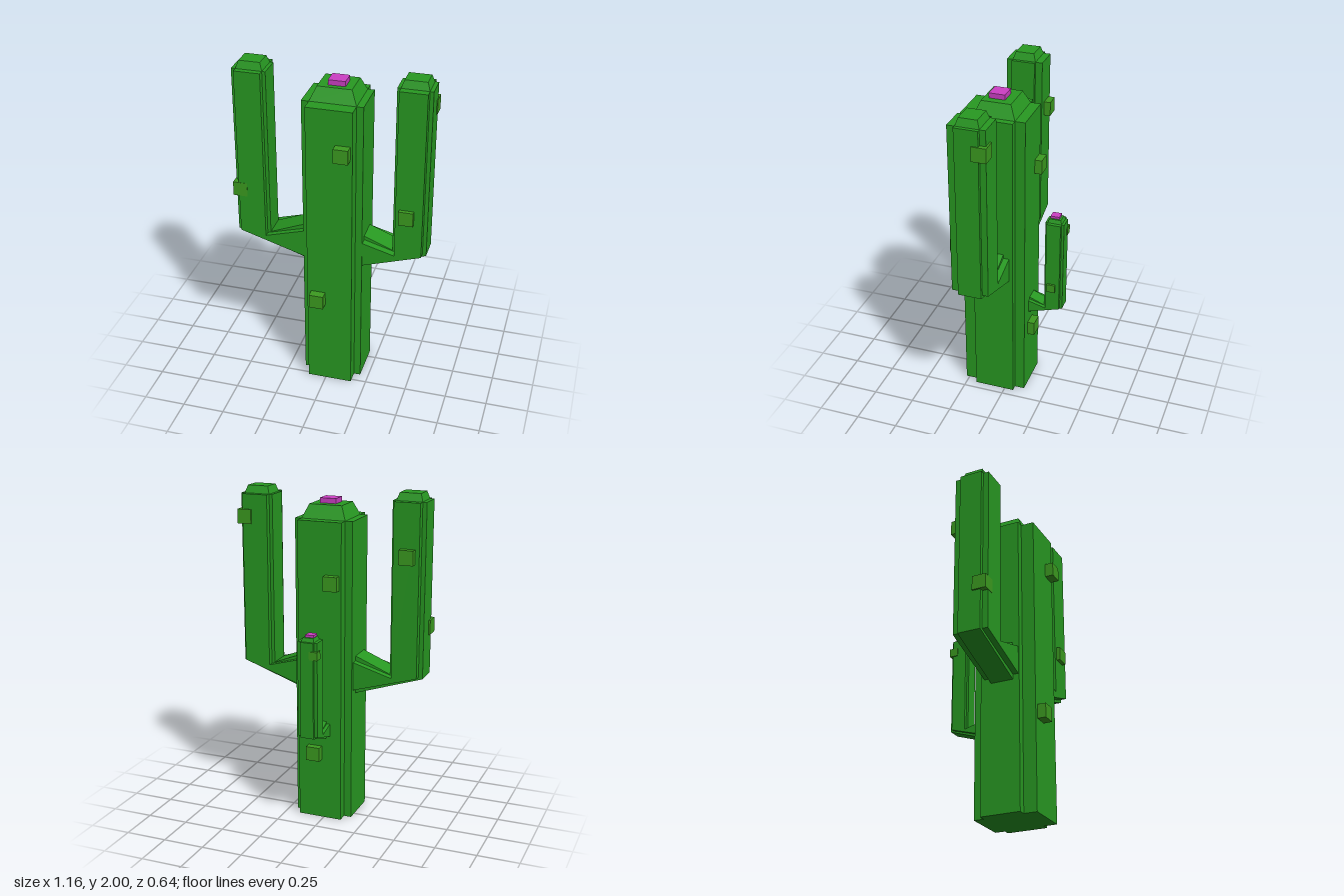
import * as THREE from 'three';

const material = (color) => new THREE.MeshStandardMaterial({ color, flatShading: true });
const GREEN = material(0x289a22);
const BUMP = material(0x3c9c20);
const PINK = material(0xcc3fc4);

function addMesh(parent, name, geometry, mat) {
  const mesh = new THREE.Mesh(geometry, mat);
  mesh.name = name;
  parent.add(mesh);
  return mesh;
}

// Box given by its limits; inset narrows the top into a frustum
function block([x0, x1], [y0, y1], [z0, z1], inset = 0) {
  const geo = new THREE.BoxGeometry(x1 - x0, y1 - y0, z1 - z0);
  const p = geo.attributes.position;
  for (let i = 0; i < p.count; i++) {
    if (p.getY(i) < 0) continue;
    p.setX(i, p.getX(i) - Math.sign(p.getX(i)) * inset);
    p.setZ(i, p.getZ(i) - Math.sign(p.getZ(i)) * inset);
  }
  geo.translate((x0 + x1) / 2, (y0 + y1) / 2, (z0 + z1) / 2);
  geo.computeVertexNormals();
  return geo;
}

// Side outline of a bent arm, extruded across its width [w0, w1]
function armSlab(points, [w0, w1]) {
  const shape = new THREE.Shape(points.map(([u, y]) => new THREE.Vector2(u, y)));
  const geo = new THREE.ExtrudeGeometry(shape, { depth: w1 - w0, bevelEnabled: false });
  return geo.translate(0, 0, w0);
}

// Two crossing slabs give the arm its notched corners
function addArm(parent, name, { ribs, top, toBack = false }) {
  const arm = new THREE.Group();
  arm.name = name;
  for (const { root, inner, outer, width } of ribs) {
    const geo = armSlab([
      [root[0], root[1]], [outer[0], outer[1]], [outer[0], top],
      [inner[0], top], [inner[0], inner[1]], [root[0], root[2]],
    ], width);
    if (toBack) geo.rotateY(Math.PI / 2);
    addMesh(arm, name + 'Rib', geo, GREEN);
  }
  parent.add(arm);
  return arm;
}

export function createModel() {
  const cactus = new THREE.Group();
  cactus.name = 'cactus';

  // Trunk with a plus-shaped section
  const plus = new THREE.Shape([
    [-0.11, -0.115], [0.16, -0.115], [0.16, -0.055], [0.2, -0.055], [0.2, 0.19], [0.16, 0.19],
    [0.16, 0.27], [-0.11, 0.27], [-0.11, 0.19], [-0.155, 0.19], [-0.155, -0.055], [-0.11, -0.055],
  ].map(([x, z]) => new THREE.Vector2(x, -z)));
  const trunk = new THREE.ExtrudeGeometry(plus, { depth: 1.83, bevelEnabled: false });
  addMesh(cactus, 'trunk', trunk.rotateX(-Math.PI / 2), GREEN);
  addMesh(cactus, 'trunkCap', block([-0.11, 0.16], [1.83, 1.91], [-0.055, 0.19], 0.035), GREEN);
  addMesh(cactus, 'trunkFlower', block([-0.02, 0.08], [1.91, 1.94], [0.03, 0.125]), PINK);

  // Right arm
  const right = addArm(cactus, 'rightArm', {
    top: 1.955,
    ribs: [
      { root: [-0.15, 0.785, 1.02], inner: [-0.37, 0.93], outer: [-0.57, 0.925], width: [0.01, 0.15] },
      { root: [-0.15, 0.815, 0.99], inner: [-0.39, 0.92], outer: [-0.545, 0.935], width: [-0.032, 0.185] },
    ],
  });
  addMesh(right, 'rightArmCap', block([-0.545, -0.39], [1.955, 2], [0.01, 0.15], 0.015), GREEN);

  // Left arm
  const left = addArm(cactus, 'leftArm', {
    top: 1.945,
    ribs: [
      { root: [0.195, 0.785, 0.99], inner: [0.37, 0.92], outer: [0.57, 0.915], width: [0.003, 0.14] },
      { root: [0.195, 0.81, 0.965], inner: [0.39, 0.91], outer: [0.548, 0.925], width: [-0.032, 0.185] },
    ],
  });
  addMesh(left, 'leftArmCap', block([0.39, 0.548], [1.945, 1.99], [0.003, 0.14], 0.015), GREEN);

  // Small back arm
  const back = addArm(cactus, 'backArm', {
    top: 1.17,
    toBack: true,
    ribs: [
      { root: [0.11, 0.52, 0.63], inner: [0.207, 0.59], outer: [0.32, 0.59], width: [-0.02, 0.06] },
      { root: [0.11, 0.535, 0.615], inner: [0.22, 0.585], outer: [0.305, 0.595], width: [-0.04, 0.082] },
    ],
  });
  addMesh(back, 'backArmCap', block([-0.02, 0.06], [1.17, 1.193], [-0.305, -0.22], 0.008), GREEN);
  addMesh(back, 'backArmFlower', block([-0.01, 0.042], [1.193, 1.207], [-0.285, -0.232]), PINK);

  // Bumps: centre x, y, z and edge length
  const bumps = [
    [0.105, 1.58, 0.278, 0.086], [-0.043, 0.593, 0.278, 0.086],
    [-0.055, 1.48, -0.115, 0.086], [0.055, 0.423, -0.115, 0.086],
    [-0.537, 1.213, 0.144, 0.086], [-0.478, 1.65, -0.028, 0.086],
    [0.455, 1.18, 0.166, 0.086], [0.533, 1.812, 0, 0.086],
    [0.07, 0.74, -0.255, 0.05], [-0.021, 1.095, -0.299, 0.05],
  ];
  for (const [x, y, z, s] of bumps) {
    addMesh(cactus, 'bump', new THREE.BoxGeometry(s, s, s), BUMP).position.set(x, y, z);
  }

  return cactus;
}
